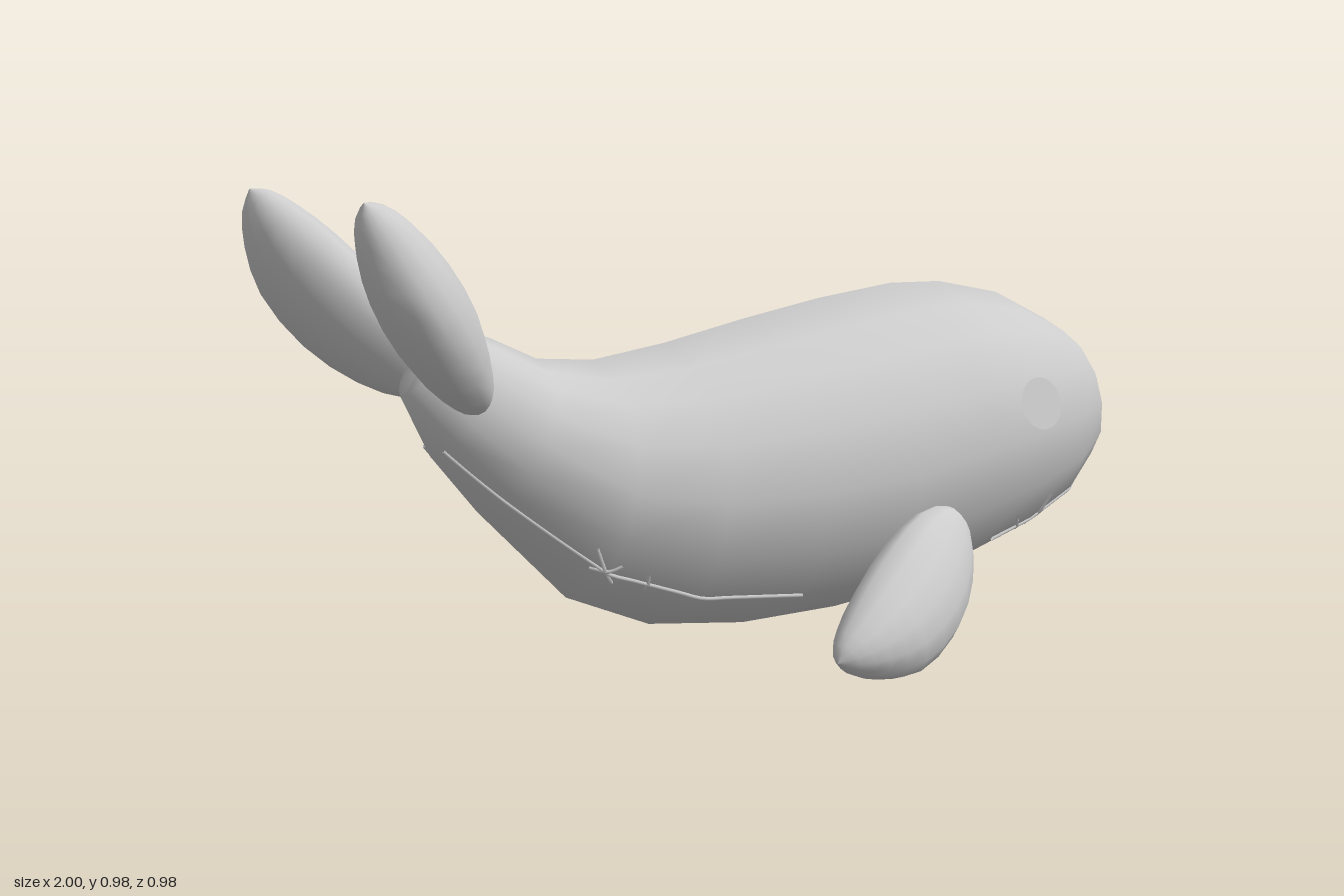
import * as THREE from 'three';

const grey = new THREE.MeshStandardMaterial({ color: 0xcccccc, side: THREE.DoubleSide });
grey.name = 'soft grey';

// Body stations, tail to nose: top x, top y, bottom x, bottom y, half width
const stations = [
  [-0.69, 0.75, -0.8, 0.62, 0.05],
  [-0.6, 0.715, -0.74, 0.5, 0.1],
  [-0.5, 0.668, -0.64, 0.38, 0.15],
  [-0.37, 0.655, -0.44, 0.18, 0.21],
  [-0.2, 0.675, -0.24, 0.095, 0.263],
  [0, 0.71, 0, 0.062, 0.297],
  [0.2, 0.74, 0.25, 0.06, 0.318],
  [0.4, 0.76, 0.47, 0.1, 0.315],
  [0.54, 0.755, 0.66, 0.15, 0.292],
  [0.71, 0.72, 0.81, 0.21, 0.243],
  [0.86, 0.65, 0.92, 0.29, 0.165],
  [0.94, 0.58, 0.97, 0.36, 0.095],
  [0.985, 0.49, 0.99, 0.39, 0.04],
  [1, 0.42, 1, 0.42, 0],
];
const last = stations.length - 1;
const lerp = THREE.MathUtils.lerp;

// Quarter of the body cross-section, back to flank: slightly ridged along back and belly
const quarterHeight = [1, 0.865, 0.69, 0.385, 0];
const quarterWidth = [0, 0.38, 0.69, 0.92, 1];
function corner(k) {
  const n = k % 16;
  const f = n % 8 > 4 ? 8 - (n % 8) : n % 8;
  return [quarterHeight[f] * (n > 4 && n < 12 ? -1 : 1), quarterWidth[f] * (n > 8 ? -1 : 1)];
}

// Point on the body skin; angle 0 is the back, PI the belly
function bodyPoint(u, angle, grow = 1) {
  const i = Math.min(Math.floor(u), last - 1);
  const [tx, ty, bx, by, halfWidth] = stations[i].map((v, n) => lerp(v, stations[i + 1][n], u - i));
  const turn = (angle / Math.PI) * 8;
  const k = Math.floor(turn + 1e-6);
  const from = corner(k), to = corner(k + 1);
  const h = lerp(from[0], to[0], turn - k) * grow;
  const w = lerp(from[1], to[1], turn - k) * grow;
  return new THREE.Vector3((tx + bx) / 2 + ((tx - bx) / 2) * h, (ty + by) / 2 + ((ty - by) / 2) * h, halfWidth * w);
}

// Closed skin through rings of points
function loft(rows, sides, pointAt) {
  const positions = [];
  const index = [];
  for (let i = 0; i < rows; i++) {
    for (let j = 0; j < sides; j++) {
      const p = pointAt(i, (j / sides) * Math.PI * 2);
      positions.push(p.x, p.y, p.z);
      if (i === rows - 1) continue;
      const k = (j + 1) % sides;
      const a = i * sides + j, b = i * sides + k;
      index.push(a, b, a + sides, b, b + sides, a + sides);
    }
  }
  const g = new THREE.BufferGeometry();
  g.setAttribute('position', new THREE.Float32BufferAttribute(positions, 3));
  g.setIndex(index);
  g.computeVertexNormals();
  return g;
}

function addMesh(parent, name, geometry) {
  const mesh = new THREE.Mesh(geometry, grey);
  mesh.name = name;
  parent.add(mesh);
  return mesh;
}

// Fin outline, root to tip: distance, inner edge, outer edge, half thickness
const finSections = [
  [-0.02, 0, 0, 0],
  [0, -0.045, 0.05, 0.03],
  [0.08, -0.08, 0.12, 0.058],
  [0.2, -0.083, 0.158, 0.08],
  [0.33, -0.066, 0.15, 0.078],
  [0.42, -0.043, 0.1, 0.058],
  [0.475, -0.022, 0.05, 0.03],
  [0.5, 0.005, 0.005, 0],
];
const finCurve = new THREE.CatmullRomCurve3(finSections.map((s) => new THREE.Vector3(s[0], s[1], s[2])));
const finThickness = new THREE.CatmullRomCurve3(finSections.map((s) => new THREE.Vector3(s[0], s[3], 0)));

function finGeometry(root, along, across) {
  const origin = new THREE.Vector3(...root);
  const L = new THREE.Vector3(...along).normalize();
  const C = new THREE.Vector3(...across);
  C.addScaledVector(L, -C.dot(L)).normalize();
  const N = new THREE.Vector3().crossVectors(L, C);
  const rows = 15;
  return loft(rows, 14, (i, angle) => {
    const s = finCurve.getPoint(i / (rows - 1));
    const thick = finThickness.getPoint(i / (rows - 1)).y;
    const side = (s.y + s.z) / 2 - ((s.z - s.y) / 2) * Math.sin(angle);
    return origin.clone()
      .addScaledVector(L, s.x)
      .addScaledVector(C, side)
      .addScaledVector(N, thick * Math.cos(angle));
  });
}

// Thin thread lying on the skin through (station, angle) points
function thread(path, steps, radius) {
  const points = [];
  for (let n = 0; n < path.length - 1; n++) {
    for (let i = n ? 1 : 0; i <= steps; i++) {
      const f = i / steps;
      points.push(bodyPoint(lerp(path[n][0], path[n + 1][0], f), lerp(path[n][1], path[n + 1][1], f), 1.006));
    }
  }
  return new THREE.TubeGeometry(new THREE.CatmullRomCurve3(points), points.length * 2, radius, 5);
}

export function createModel() {
  const model = new THREE.Group();
  model.name = 'whale';

  // Body, closed at the tail by a collapsed first ring
  addMesh(model, 'body', loft(last + 2, 16, (i, angle) =>
    i === 0 ? bodyPoint(0, 0).lerp(bodyPoint(0, Math.PI), 0.5) : bodyPoint(i - 1, angle)));

  // Seams and stitches as station, angle
  const seam = Math.PI * 0.75;
  const tailSeam = [[1, seam + 0.4], [2, seam + 0.2], [3, seam], [5, seam]];
  const mouthSeam = [[7.3, seam], [9, seam + 0.04], [10, seam + 0.16], [11.1, seam + 0.5]];
  const stitches = [
    [[2.8, seam - 0.14], [3.1, seam + 0.14]],
    [[3.08, seam - 0.12], [2.85, seam + 0.12]],
    [[3.37, seam - 0.1], [3.45, seam + 0.1]],
    [[7.66, seam - 0.12], [7.83, seam + 0.12]],
    [[8.35, seam - 0.16], [8.05, seam + 0.16]],
  ];

  // Everything paired is built on the +z side and mirrored
  for (const side of [1, -1]) {
    const half = new THREE.Group();
    half.name = side > 0 ? 'frontSide' : 'backSide';
    half.scale.z = side;
    model.add(half);

    addMesh(half, 'tailFluke', finGeometry([-0.697, 0.62, 0.1], [-0.27, 0.365, 0.12], [-0.22, -0.4, 0.9]));
    addMesh(half, 'flipper', finGeometry([0.33, 0.285, 0.3], [-0.43, -0.19, 0.15], [0.5, -0.83, 0.2]));

    // Eye disc, tilted to follow the head
    const eye = addMesh(half, 'eye', new THREE.CircleGeometry(0.056, 28));
    eye.position.set(0.557, 0.52, 0.316);
    eye.rotation.x = -0.27;

    addMesh(half, 'tailSeam', thread(tailSeam, 8, 0.004));
    addMesh(half, 'mouthSeam', thread(mouthSeam, 8, 0.004));
    for (const stitch of stitches) addMesh(half, 'stitch', thread(stitch, 4, 0.004));
  }
  return model;
}
